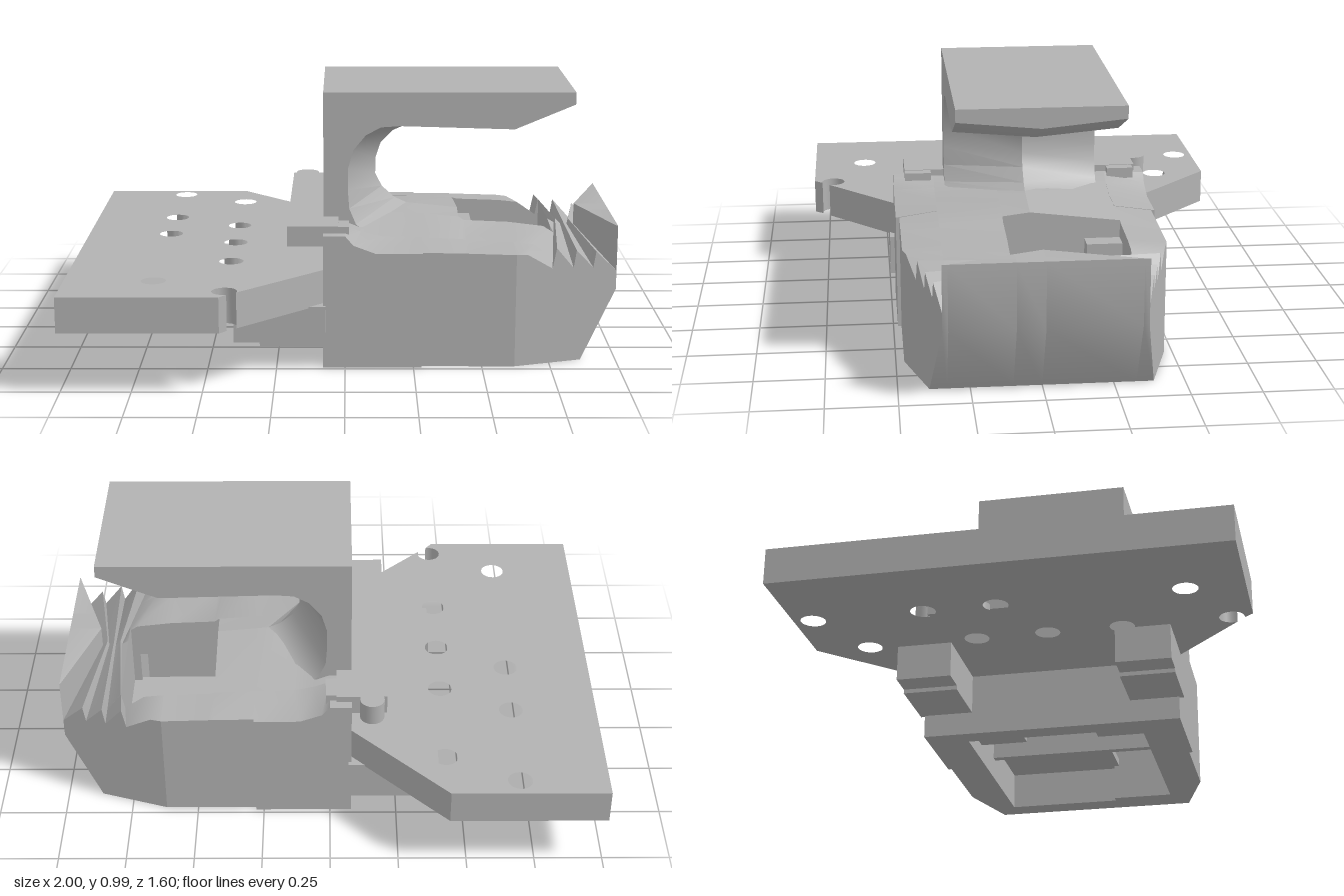
import * as THREE from 'three';
import { toCreasedNormals } from 'three/addons/utils/BufferGeometryUtils.js';

const grey = new THREE.MeshStandardMaterial({ color: 0xb2b2b2 });
grey.name = 'plain grey';

// Solid between two depths; each row is [centre x, centre y, edge x, edge y],
// blended by how far z lies between the middle and the half width.
function slab(rows, z0, z1, width, minX = -9) {
  const section = z => rows.map(([cx, cy, ex, ey]) => {
    const f = Math.min(1, Math.abs(z) / width(ex));
    const x = Math.max(minX, cx + (ex - cx) * f);
    const w = width(x);
    return new THREE.Vector3(x, cy + (ey - cy) * f, Math.max(-w, Math.min(w, z)));
  });
  const a = section(z0), b = section(z1), pos = [];
  const tri = (...pts) => pts.forEach(p => pos.push(p.x, p.y, p.z));
  const n = rows.length;
  for (let i = 0; i < n; i++) {
    const j = (i + 1) % n;
    tri(a[i], a[j], b[j]);
    tri(a[i], b[j], b[i]);
  }
  const flat = s => s.map(p => new THREE.Vector2(p.x, p.y));
  for (const [i, j, k] of THREE.ShapeUtils.triangulateShape(flat(a), [])) tri(a[i], a[k], a[j]);
  for (const [i, j, k] of THREE.ShapeUtils.triangulateShape(flat(b), [])) tri(b[i], b[j], b[k]);
  const g = new THREE.BufferGeometry();
  g.setAttribute('position', new THREE.Float32BufferAttribute(pos, 3));
  return toCreasedNormals(g, 0.6);
}

const same = pts => pts.map(([x, y]) => [x, y, x, y]);

export function createModel() {
  const model = new THREE.Group();
  const add = (name, geometry, parent = model) => {
    const m = new THREE.Mesh(geometry, grey);
    m.name = name;
    parent.add(m);
    return m;
  };
  const box = (name, x0, x1, y0, y1, z0, z1, parent) =>
    add(name, new THREE.BoxGeometry(x1 - x0, y1 - y0, z1 - z0), parent)
      .position.set((x0 + x1) / 2, (y0 + y1) / 2, (z0 + z1) / 2);

  // Mounting plate with drilled holes and one hole breaking the edge
  const outline = [[-1, 0.795], [-1, -0.8], [-0.43, -0.8], [-0.08, -0.45], [-0.08, 0.45]];
  for (let i = 0; i <= 24; i++) {
    const t = (20 - i * 303 / 24) * Math.PI / 180;
    outline.push([-0.42 + 0.045 * Math.cos(t), 0.72 + 0.045 * Math.sin(t)]);
  }
  outline.push([-0.435, 0.795]);
  const shape = new THREE.Shape(outline.map(([x, z]) => new THREE.Vector2(x, -z)));
  const holes = [[-0.68, -0.73], [-0.42, -0.6], [-0.68, -0.33], [-0.42, -0.2], [-0.68, -0.07],
    [-0.42, 0.06], [-0.42, 0.33], [-0.68, 0.59]];
  for (const [x, z] of holes) {
    shape.holes.push(new THREE.Path().absarc(x, -z, 0.045, 0, Math.PI * 2, true));
  }
  const plate = new THREE.ExtrudeGeometry(shape, { depth: 0.13, bevelEnabled: false, curveSegments: 16 });
  plate.rotateX(-Math.PI / 2).translate(0, 0.23, 0);
  add('mountingPlate', toCreasedNormals(plate, 0.6));

  // Brackets below the plate
  for (const s of [-1, 1]) {
    const z = [0.3 * s, 0.5 * s].sort((a, b) => a - b);
    box('bracket', -0.31, -0.07, 0.085, 0.235, ...z);
    box('bracketStep', -0.405, -0.31, 0.1, 0.235, ...z);
    // Tabs of the rear ledge
    const t = [0.34 * s, 0.44 * s].sort((a, b) => a - b);
    box('ledgeTab', -0.03, 0.015, 0.44, 0.518, ...t);
  }
  box('rearLedge', -0.21, -0.025, 0.445, 0.52, -0.45, 0.44);
  add('ledgePin', new THREE.CylinderGeometry(0.045, 0.045, 0.08, 20)).position.set(-0.155, 0.48, -0.465);

  // Lower jaw: top profile from the front lip over the teeth to the rear
  const lip = [[1, 0.26, 1, 0.26], [1, 0.5, 1, 0.5], [0.88, 0.5, 1, 0.498]];
  const teeth = [
    [0.88, 0.42, 1, 0.33], [0.86, 0.44, 0.92, 0.41], [0.855, 0.42, 0.91, 0.35],
    [0.835, 0.44, 0.845, 0.42], [0.83, 0.42, 0.835, 0.355], [0.81, 0.44, 0.77, 0.435],
    [0.805, 0.425, 0.755, 0.36], [0.78, 0.44, 0.66, 0.42],
  ];
  const midTop = [[0.62, 0.46, 0.62, 0.422], [0.45, 0.468, 0.45, 0.427], [0.43, 0.485, 0.43, 0.428],
    [0.28, 0.5, 0.28, 0.43]];
  const rearTop = [[0.28, 0.5, 0.28, 0.43], [0.19, 0.51, 0.11, 0.43], [0.12, 0.5, 0.03, 0.46],
    [0, 0.495, 0, 0.495], [-0.08, 0.495, -0.08, 0.495]];
  const front = [...lip, ...teeth];
  const taper = x => x <= 0.62 ? 0.47 : 0.47 - (x - 0.62) * 0.12 / 0.38;
  const wide = () => 0.483;

  const jaw = new THREE.Group();
  jaw.name = 'lowerJaw';
  model.add(jaw);
  const inner = 0.33;
  for (const [z0, z1] of [[-1, -inner], [inner, 1]]) {
    add('jawSideRear', slab([...same([[-0.08, 0], [0.28, 0]]), ...rearTop], z0, z1, wide), jaw);
    add('jawSideMiddle', slab([...same([[0.28, 0], [0.62, 0]]), ...midTop], z0, z1, taper), jaw);
    add('jawSideFront', slab([...same([[0.62, 0], [0.87, 0]]), ...front, midTop[0]], z0, z1, taper), jaw);
  }
  // Middle of the jaw, hollow below
  const hollow = same([[-0.08, 0], [0, 0], [0, 0.3], [0.75, 0.3], [0.75, 0], [0.87, 0]]);
  add('jawMiddle', slab([...hollow, ...front, ...midTop, ...rearTop.slice(1)], 0.1, inner, taper), jaw);
  // Part with the open pit
  const behindPit = same([[-0.08, 0], [0, 0], [0, 0.3], [0.43, 0.3]]);
  for (const [z0, z1] of [[-inner, 0], [0, 0.1]]) {
    add('jawBehindPit', slab([...behindPit, ...midTop.slice(2), ...rearTop.slice(1)], z0, z1, taper), jaw);
    add('jawBeforePit', slab([...same([[0.78, 0], [0.87, 0]]), ...front], z0, z1, taper, 0.78), jaw);
  }
  box('pitFloor', 0.4, 0.79, 0.14, 0.17, -0.34, 0.12, jaw);
  box('pitLedge', 0.43, 0.5, 0.17, 0.38, -0.33, -0.2, jaw);

  // Ribs inside the hollow
  for (const z of [-0.25, 0.22]) box('innerRib', 0.12, 0.2, 0.06, 0.31, z - 0.09, z + 0.1, jaw);
  box('innerWall', 0.4, 0.43, 0.08, 0.31, -0.33, 0.33, jaw);

  // Upper hook, ridged along its middle
  const hook = [
    [-0.08, 0.4, -0.08, 0.4], [0.26, 0.4, 0.14, 0.4], [0.28, 0.5, 0.15, 0.44],
    [0.235, 0.505, 0.09, 0.45], [0.19, 0.525, 0.04, 0.49], [0.14, 0.57, 0.015, 0.55],
    [0.115, 0.62, 0.01, 0.62], [0.115, 0.68, 0.01, 0.7], [0.135, 0.74, 0.03, 0.77],
    [0.18, 0.787, 0.075, 0.825], [0.22, 0.805, 0.13, 0.855], [0.26, 0.81, 0.2, 0.86],
    [0.62, 0.822, 0.62, 0.848], [0.84, 0.912, 0.84, 0.94], [0.84, 0.985, 0.84, 0.985],
    [-0.08, 0.985, -0.08, 0.985],
  ];
  const hookWidth = () => 0.29;
  add('upperHookRight', slab(hook, -0.29, 0, hookWidth));
  add('upperHookLeft', slab(hook, 0, 0.29, hookWidth));
  return model;
}
